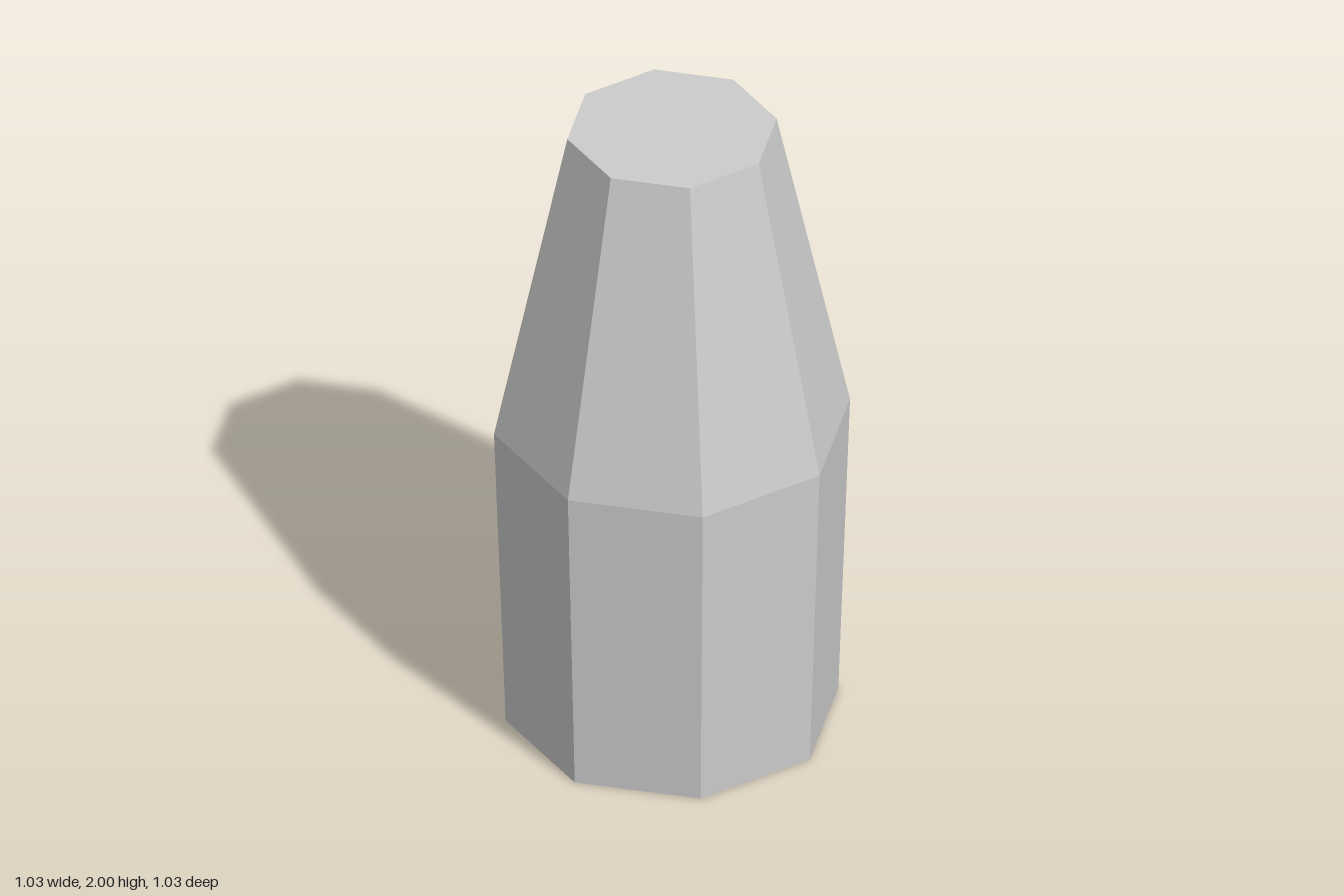
import * as THREE from 'three';

const SIDES = 8;

export function createModel() {
  const group = new THREE.Group();
  group.name = 'taperedPost';
  const material = new THREE.MeshStandardMaterial({ color: 0xcccccc, flatShading: true });

  // Octagonal side wall: slight flare to mid height, then a strong taper
  const profile = [[0.483, 0], [0.517, 1], [0.304, 2]].map(([r, y]) => new THREE.Vector2(r, y));
  const wall = new THREE.LatheGeometry(profile, SIDES).toNonIndexed();
  wall.computeVertexNormals();
  const body = new THREE.Mesh(wall, material);
  body.name = 'body';
  group.add(body);

  // Flat end caps
  const addCap = (name, radius, y, tilt) => {
    const cap = new THREE.Mesh(new THREE.CircleGeometry(radius, SIDES), material);
    cap.name = name;
    cap.position.y = y;
    cap.rotation.x = tilt;
    group.add(cap);
  };
  addCap('topCap', 0.304, 2, -Math.PI / 2);
  addCap('bottomCap', 0.483, 0, Math.PI / 2);

  return group;
}
